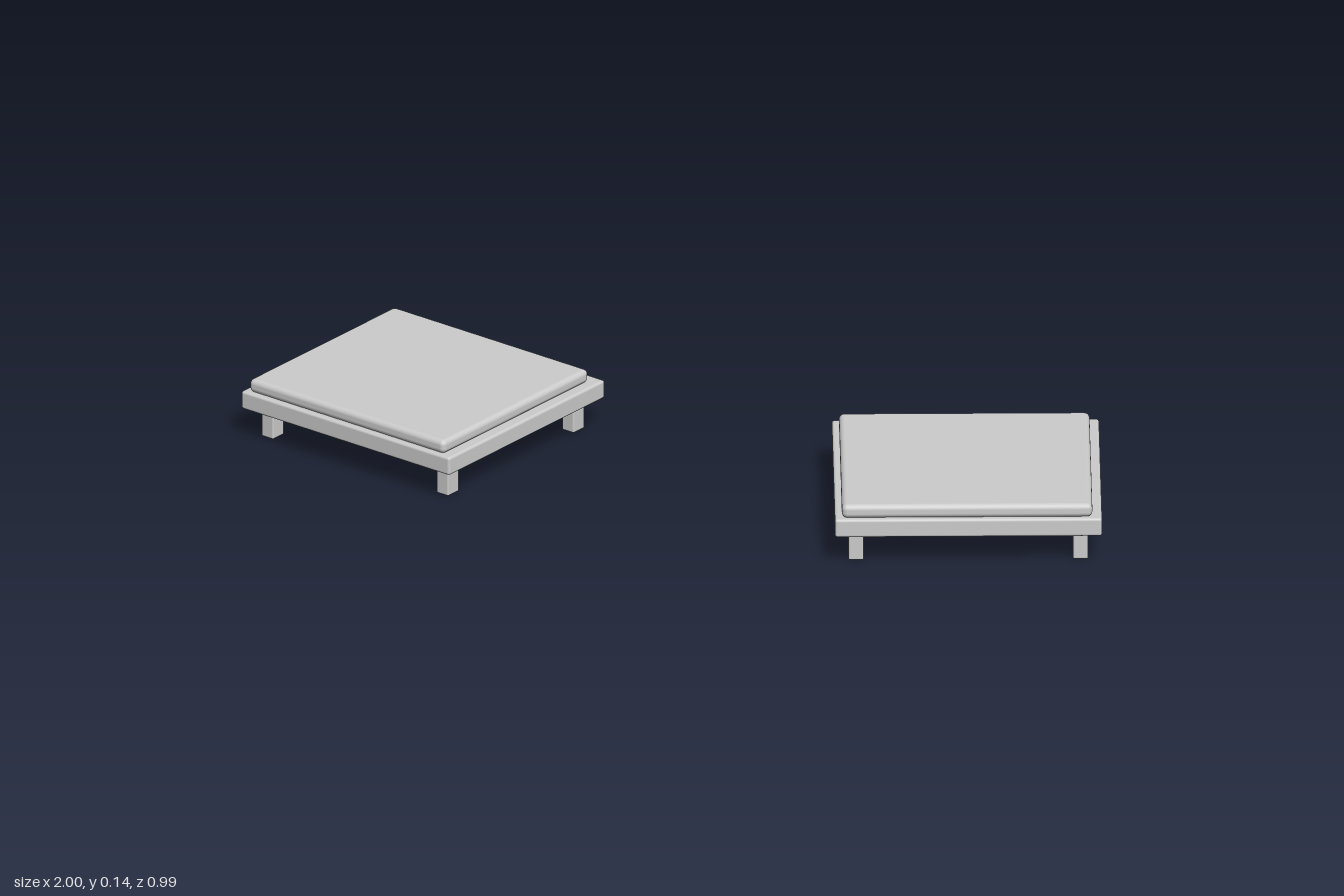
import * as THREE from 'three';
import { RoundedBoxGeometry } from 'three/addons/geometries/RoundedBoxGeometry.js';

export function createModel() {
  const model = new THREE.Group();
  model.name = 'lowPlatforms';
  const paleGrey = new THREE.MeshStandardMaterial({ color: 0xcccccc });
  paleGrey.name = 'paleGrey';

  // Softly bevelled block, given by its size, bevel and bottom centre
  function block(parent, name, [w, h, d], bevel, [x, y, z]) {
    const mesh = new THREE.Mesh(new RoundedBoxGeometry(w, h, d, 3, bevel), paleGrey);
    mesh.name = name;
    mesh.position.set(x, y + h / 2, z);
    parent.add(mesh);
  }

  // One low platform: four legs, a frame and a cushion set slightly forward
  function platform(name, x, z, degrees) {
    const group = new THREE.Group();
    group.name = name;
    for (const sx of [-1, 1]) {
      for (const sz of [-1, 1]) {
        const leg = (sz > 0 ? 'front' : 'back') + (sx > 0 ? 'Left' : 'Right') + 'Leg';
        block(group, leg, [0.034, 0.076, 0.04], 0.004, [sx * 0.25, 0, sz * 0.223]);
      }
    }
    block(group, 'frame', [0.595, 0.043, 0.555], 0.006, [0, 0.07, 0]);
    block(group, 'cushion', [0.558, 0.032, 0.518], 0.012, [-0.003, 0.112, 0.011]);
    group.position.set(x, 0, z);
    group.rotation.y = THREE.MathUtils.degToRad(degrees);
    model.add(group);
  }

  platform('rightPlatform', -0.603, -0.107, -30.5);
  platform('leftPlatform', 0.662, 0.176, 9);
  return model;
}
